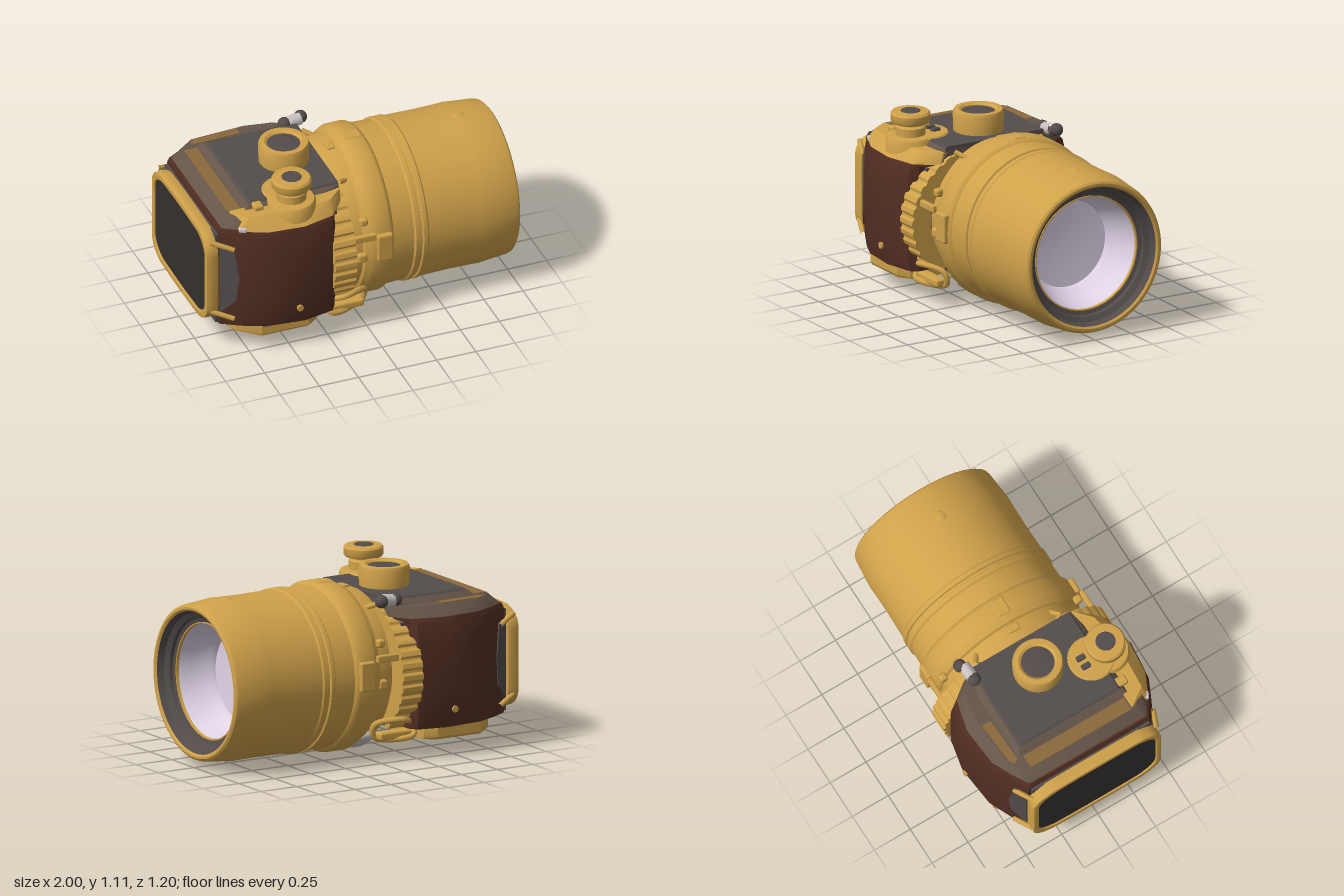
import * as THREE from 'three';
import { toCreasedNormals } from 'three/addons/utils/BufferGeometryUtils.js';
import { ConvexGeometry } from 'three/addons/geometries/ConvexGeometry.js';
import { RoundedBoxGeometry } from 'three/addons/geometries/RoundedBoxGeometry.js';

const material = (name, color) => {
  const m = new THREE.MeshStandardMaterial({ color });
  m.name = name;
  return m;
};

export function createModel() {
  const model = new THREE.Group();
  model.name = 'camera';
  const gold = material('gold', 0xcfa14a);
  const leather = material('brown leather', 0x522e22);
  const dark = material('dark grey', 0x534c4b);
  const black = material('black panel', 0x34302d);
  const glass = material('lilac glass', 0xdfd3e6);
  const bronze = material('bronze', 0x8a683c);
  const taupe = material('taupe', 0x655549);
  const silver = material('silver', 0xcbc3c3);
  const AXIS = 0.52; // height of the lens axis

  const add = (name, geometry, mat, x = 0, y = 0, z = 0) => {
    const mesh = new THREE.Mesh(geometry, mat);
    mesh.name = name;
    mesh.position.set(x, y, z);
    model.add(mesh);
    return mesh;
  };
  const block = (name, w, h, d, mat, x, y, z) =>
    add(name, new RoundedBoxGeometry(w, h, d, 2, Math.min(w, h, d) * 0.3), mat, x, y, z);
  const lathe = (pts, segments = 64) => toCreasedNormals(
    new THREE.LatheGeometry(pts.map(p => new THREE.Vector2(p[0], p[1])), segments), 0.6);
  // Turned part along the lens axis, points are [radius, x]
  const turned = (name, pts, mat) => {
    const mesh = add(name, lathe(pts, 80), mat, 0, AXIS, 0);
    mesh.rotation.z = -Math.PI / 2;
    return mesh;
  };
  const hull = (name, pts, mat) => add(name,
    toCreasedNormals(new ConvexGeometry(pts.map(p => new THREE.Vector3(...p))), 0.5), mat);
  // Mirrored slab: each layer is [y, half outline of x,z points]
  const slab = (name, layers, mat) => hull(name, layers.flatMap(([y, half]) =>
    half.flatMap(([x, z]) => [[x, y, z], [x, y, -z]])), mat);
  const widen = (half, k) => half.map(([x, z]) => [x, z * k]);
  // Extrude a z,y shape towards the back
  const backward = (shape, depth, bevel = 0) => toCreasedNormals(new THREE.ExtrudeGeometry(shape, {
    depth, bevelEnabled: bevel > 0, bevelSize: bevel, bevelThickness: bevel, bevelSegments: 2, curveSegments: 10,
  }).rotateY(-Math.PI / 2), 0.6);
  const rod = (name, a, b, r, mat) => {
    const curve = new THREE.LineCurve3(new THREE.Vector3(...a), new THREE.Vector3(...b));
    return add(name, new THREE.TubeGeometry(curve, 1, r, 8), mat);
  };

  // Body
  const side = [[-0.91, 0.43], [-0.8, 0.5], [-0.66, 0.565], [-0.42, 0.59], [-0.23, 0.55], [-0.2, 0.5]];
  const rim = [[-0.9, 0.41], [-0.8, 0.47], [-0.65, 0.54], [-0.42, 0.56], [-0.22, 0.51], [-0.12, 0.38]];
  const step = [[-0.83, 0.36], [-0.74, 0.46], [-0.4, 0.48], [-0.22, 0.45], [-0.12, 0.36]];
  const deck = [[-0.74, 0.39], [-0.3, 0.4], [-0.12, 0.36]];
  const top = [[-0.7, 0.36], [-0.12, 0.35]];
  const core = [[-0.93, 0.41], [-0.1, 0.38]];
  slab('bodyCore', [[0.2, core], [0.82, core]], dark);
  slab('leatherWrap', [[0.19, widen(side, 0.97)], [0.28, side], [0.5, widen(side, 1.01)], [0.76, side],
    [0.84, widen(side, 0.965)]], leather);
  slab('leatherEdge', [[0.83, widen(side, 0.965)], [0.86, rim]], leather);
  slab('shoulder', [[0.85, rim], [0.92, step]], taupe);
  slab('upperStep', [[0.915, deck], [0.95, top]], taupe);
  slab('topPlate', [[0.945, top], [0.963, [[-0.68, 0.34], [-0.12, 0.34]]]], dark);
  add('bodyFront', new THREE.BoxGeometry(0.04, 0.6, 0.9), dark, -0.19, 0.53, 0);
  // Gold cover on the control side of the shoulder
  hull('shoulderCover', [
    ...rim.slice(1).map(([x, z]) => [x, 0.856, z + 0.008]),
    ...step.slice(1).map(([x, z]) => [x, 0.93, z + 0.008]),
    [-0.82, 0.88, 0.35], [-0.82, 0.93, 0.35], [-0.12, 0.93, 0.34],
  ], gold);
  // Bronze inlays on the ledge around the deck
  add('rearInlay', new THREE.BoxGeometry(0.085, 0.008, 0.7), bronze, -0.785, 0.92, -0.01);
  hull('sideInlay', [0.916, 0.924].flatMap(y =>
    [[-0.76, -0.43], [-0.73, -0.45], [-0.45, -0.47], [-0.45, -0.41], [-0.74, -0.4]].map(([x, z]) => [x, y, z])), bronze);
  block('smallKnob', 0.06, 0.04, 0.07, gold, -0.65, 0.94, 0.38);
  block('cornerClip', 0.05, 0.03, 0.03, silver, -0.78, 0.862, 0.475).rotation.y = -0.5;

  // Base plate
  const foot = [[-0.83, 0.35], [-0.8, 0.42], [-0.68, 0.53], [-0.38, 0.53], [-0.31, 0.48], [-0.3, 0.42]];
  slab('basePlate', [[0.11, widen(foot, 0.98)], [0.125, foot], [0.19, foot]], gold);
  add('baseInset', new THREE.BoxGeometry(0.28, 0.006, 0.56), bronze, -0.56, 0.109, 0);

  // Rear frame and screen
  const frameOutline = (g) => {
    const s = new THREE.Shape();
    const w = 0.44 - g, h = 0.305 - g, c = 0.13;
    s.moveTo(-w, -h + c);
    s.quadraticCurveTo(-w, -h + 0.03, -w + c, -h);
    s.quadraticCurveTo(0, -h - 0.015, w - c, -h);
    s.quadraticCurveTo(w, -h + 0.03, w, -h + c);
    s.lineTo(w, h - c);
    s.quadraticCurveTo(w, h - 0.03, w - c, h);
    s.quadraticCurveTo(0, h + 0.015, -w + c, h);
    s.quadraticCurveTo(-w, h - 0.03, -w, h - c);
    return s;
  };
  const frame = frameOutline(0);
  frame.holes.push(frameOutline(0.026));
  add('rearFrame', backward(frame, 0.064, 0.006), gold, -0.93, 0.515, 0);
  add('rearScreen', backward(frameOutline(0.02), 0.07), black, -0.92, 0.515, 0);

  // Side fittings, mirrored
  for (const s of [1, -1]) {
    // Dark wedge where the leather stops short of the frame
    const wedge = new THREE.Shape([[0, -0.24], [0.1, -0.14], [0.12, 0.02], [0.085, 0.24], [0, 0.24]]
      .map(p => new THREE.Vector2(...p)));
    const w = add('sideWedge', new THREE.ExtrudeGeometry(wedge, { depth: 0.009, bevelEnabled: false }),
      dark, -0.91, 0.52, s > 0 ? 0.432 : -0.441);
    w.rotation.y = -s * Math.atan2(0.07, 0.11);

    for (const y of [0.76, 0.27])
      rod('frameLug', [-0.97, y + 0.03, s * 0.43], [-0.84, y - 0.02, s * 0.485], 0.016, gold);
    const screw = add('leatherScrew', new THREE.CylinderGeometry(0.02, 0.02, 0.02, 16), gold, -0.46, 0.3, s * 0.59);
    screw.rotation.x = Math.PI / 2;

    // Knurled grip arc
    const pts = [], inner = [];
    for (let i = 0; i <= 60; i++) {
      const a = THREE.MathUtils.degToRad(-46 + i * 108 / 60);
      const k = i % 5 < 3 ? 1 : 0.98;
      pts.push(new THREE.Vector2(s * 0.6 * k * Math.cos(a), 0.46 * k * Math.sin(a)));
      inner.unshift(new THREE.Vector2(s * 0.47 * Math.cos(a), 0.38 * Math.sin(a)));
    }
    add('gripArc', backward(new THREE.Shape([...pts, ...inner]), 0.14), gold, -0.095, AXIS, 0);

    // Strap bars and tabs beside the mount
    block('mountBar', 0.16, 0.045, 0.03, gold, -0.03, 0.65, s * 0.53);
    block('mountTab', 0.05, 0.05, 0.05, gold, -0.01, 0.73, s * 0.47);
    block('mountTab', 0.06, 0.06, 0.05, gold, -0.02, 0.48, s * 0.475);
    block('collarTab', 0.1, 0.18, 0.04, gold, 0.11, 0.55, s * 0.515);
    rod('mountStrut', [-0.1, 0.93, s * 0.3], [-0.02, 0.89, s * 0.24], 0.016, gold);
    // Lower lever loop
    const loop = new THREE.CatmullRomCurve3([
      [-0.25, 0.2, 0.45], [-0.22, 0.15, 0.5], [0.0, 0.15, 0.42], [0.01, 0.23, 0.44], [-0.14, 0.26, 0.52],
    ].map(([x, y, z]) => new THREE.Vector3(x, y, z * s)), true);
    add('lowerLoop', new THREE.TubeGeometry(loop, 40, 0.018, 8, true), gold);
    block('lowerLever', 0.25, 0.05, 0.07, gold, -0.13, 0.16, s * 0.45);
    // Pale plate under the mount
    block('lowerPlate', 0.11, 0.08, 0.2, silver, -0.03, 0.11, s * 0.22).rotation.x = -s * 0.5;
  }

  // Lens barrel
  turned('lensBarrel', [[0.36, -0.13], [0.45, -0.12], [0.465, -0.08], [0.472, -0.01], [0.49, 0.0], [0.505, 0.03],
    [0.515, 0.05], [0.515, 0.15], [0.505, 0.17], [0.492, 0.18], [0.487, 0.31], [0.498, 0.32], [0.498, 0.345], [0.486, 0.35],
    [0.486, 0.365], [0.498, 0.37], [0.498, 0.395], [0.49, 0.405], [0.486, 0.6], [0.488, 0.75], [0.49, 0.8],
    [0.482, 0.88], [0.474, 0.97], [0.468, 0.99], [0.455, 1], [0.442, 1], [0.43, 0.99]], gold);
  turned('lensHood', [[0.43, 0.99], [0.415, 0.95], [0.385, 0.93], [0.38, 0.91], [0.352, 0.9]], dark);
  turned('lensRetainer', [[0.356, 0.895], [0.355, 0.907], [0.348, 0.907], [0.346, 0.89]], gold);
  turned('lensWell', [[0.35, 0.9], [0.32, 0.8], [0.29, 0.72], [0.275, 0.7], [0.268, 0.68], [0.15, 0.67], [0, 0.665]], glass);
  add('barrelBump', new THREE.SphereGeometry(0.035, 16, 10).scale(1.2, 0.35, 1), gold, 0.78, 1.003, 0);
  block('collarKnob', 0.11, 0.03, 0.08, gold, 0.1, 1.025, 0);
  block('collarMarker', 0.05, 0.03, 0.08, gold, -0.04, 0.985, 0);

  // Centre dial
  add('centreDial', lathe([[0.15, 0.9], [0.15, 0.97], [0.153, 1.07], [0.145, 1.09], [0.115, 1.092], [0.1, 1.08], [0.1, 1.06]]),
    gold, -0.33, 0, -0.005);
  add('centreDialCap', lathe([[0.104, 1.06], [0.1, 1.075], [0.05, 1.082], [0, 1.082]]), dark, -0.33, 0, -0.005);

  // Corner dial on its stepped pedestal
  add('cornerPedestal', lathe([[0.15, 0.86], [0.145, 0.95], [0.135, 0.965], [0.09, 0.97], [0.09, 1.02], [0.07, 1.03],
    [0.07, 1.045], [0.11, 1.045], [0.12, 1.06], [0.12, 1.1], [0.11, 1.112], [0.06, 1.114]]), gold, -0.44, 0, 0.4);
  add('cornerDialCap', lathe([[0.062, 1.112], [0.055, 1.118], [0, 1.118]]), dark, -0.44, 0, 0.4);
  add('pedestalDisc', lathe([[0.145, 0.88], [0.145, 0.96], [0.135, 0.972], [0, 0.972]]), gold, -0.44, 0, 0.3);
  for (const s of [1, -1])
    block('pedestalPin', 0.035, 0.03, 0.06, dark, -0.44 + s * 0.03, 0.975, 0.245);

  // Small lever with ball ends
  rod('leverStem', [-0.2, 0.95, -0.36], [-0.08, 0.965, -0.37], 0.038, silver);
  add('leverBall', new THREE.SphereGeometry(0.04, 20, 14), dark, -0.07, 0.962, -0.39);
  add('leverBase', new THREE.SphereGeometry(0.042, 20, 14), dark, -0.185, 0.955, -0.36);

  return model;
}
